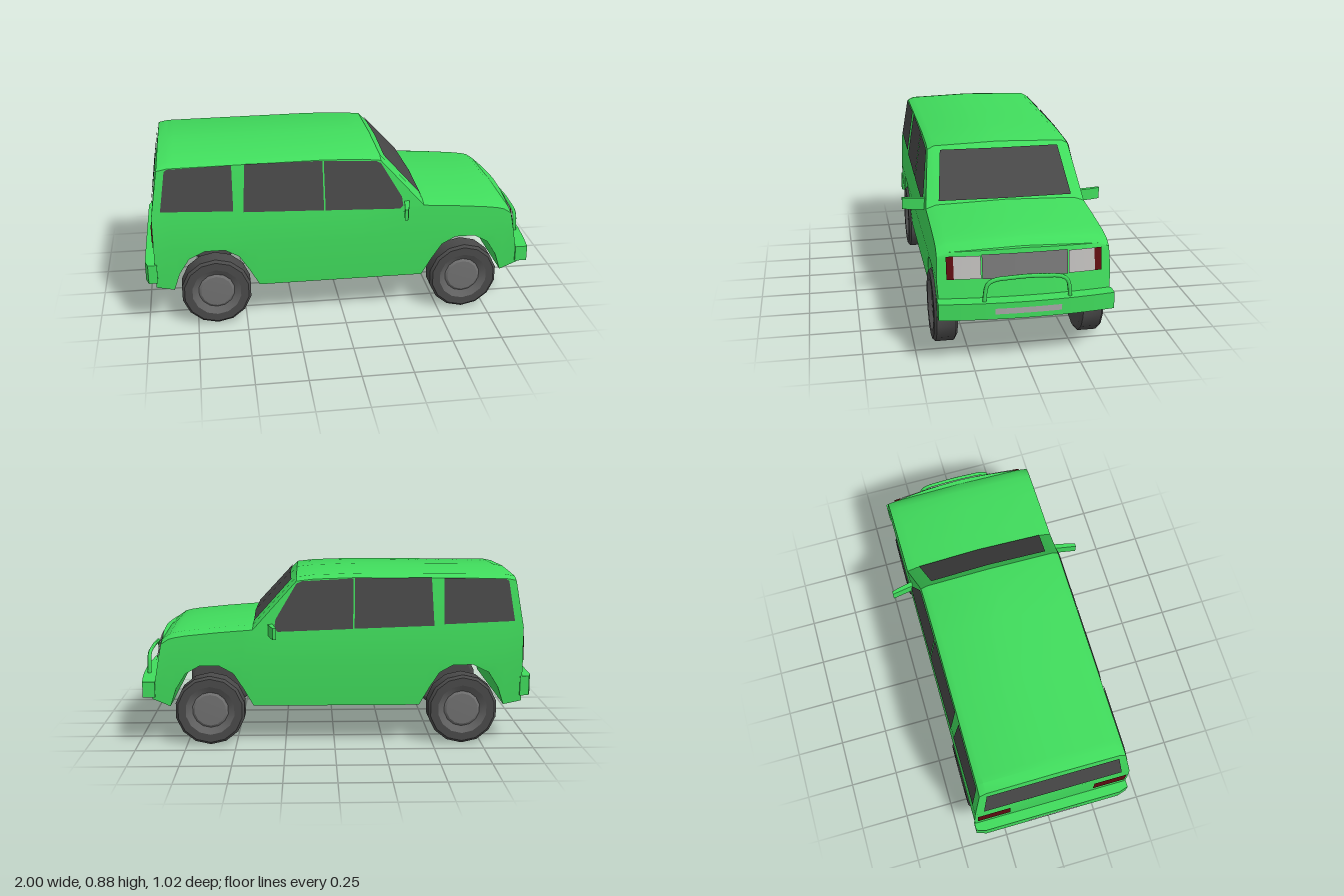
import * as THREE from 'three';
import { toCreasedNormals } from 'three/addons/utils/BufferGeometryUtils.js';

const mat = (name, color, side = THREE.FrontSide) => {
  const m = new THREE.MeshStandardMaterial({ color, side });
  m.name = name;
  return m;
};
const lerp = THREE.MathUtils.lerp;

// Half-width of the body at height y: bulging flanks, tapering cabin
const halfWidth = (y) =>
  y < 0.42 ? 0.395 + (y - 0.2) * 0.06 : y < 0.6 ? 0.408 - (y - 0.42) * 0.044 : 0.4 - (y - 0.6) * 0.155;

// Height of the roof and bonnet edge along the car
const TOP = [[-0.91, 0.85], [-0.86, 0.86], [-0.1, 0.866], [0.1, 0.86], [0.19, 0.85], [0.41, 0.61], [0.6, 0.596], [0.78, 0.578], [0.83, 0.565], [0.865, 0.54]];
function topY(x) {
  for (let i = 1; i < TOP.length; i++) {
    const [x0, y0] = TOP[i - 1], [x1, y1] = TOP[i];
    if (x <= x1) return lerp(y0, y1, Math.max(0, (x - x0) / (x1 - x0)));
  }
  return TOP[TOP.length - 1][1];
}

const CROWN = 0.01, NOSE_BULGE = 0.025;
const noseX = (y) => lerp(0.92, 0.865, THREE.MathUtils.clamp((y - 0.25) / 0.29, 0, 1));
const tailX = (y) => lerp(-0.95, -0.91, THREE.MathUtils.clamp((y - 0.6) / 0.25, 0, 1));

// One closed cross-section; s narrows it to close the ends
function section({ xAt, yb, yt, s = 1, push = 0 }) {
  const inset = yt > 0.7 ? 0.03 : 0.05;
  const mid = Math.max(0.42, yb + 0.01), belt = Math.min(0.6, yt - 0.03), edge = yt - 0.018;
  const lift = CROWN * (1 - s);
  const half = [[0, yb], [halfWidth(yb), yb], [halfWidth(mid), mid], [halfWidth(belt), belt],
    [halfWidth(edge), edge], [halfWidth(yt) - inset, yt + lift], [0, yt + CROWN]];
  const ring = [...half, ...half.slice(1, -1).reverse().map(([z, y]) => [-z, y])];
  return ring.map(([z, y]) => [xAt(y) + push, y, z * s]);
}

function bodyGeometry() {
  // Lower edge along the car, with both wheel arches
  const sill = [[-0.86, 0.2], [-0.83, 0.29], [-0.78, 0.37], [-0.7, 0.41], [-0.6, 0.41], [-0.53, 0.37], [-0.48, 0.29], [-0.43, 0.2],
    [-0.1, 0.2], [0.1, 0.2], [0.19, 0.2], [0.41, 0.2], [0.46, 0.29], [0.51, 0.37], [0.58, 0.41], [0.68, 0.41], [0.75, 0.37], [0.8, 0.29], [0.83, 0.2]];
  const tail = { xAt: tailX, yb: 0.22, yt: 0.85 };
  const nose = { xAt: noseX, yb: 0.24, yt: 0.54 };
  const rings = [
    section({ ...tail, s: 0 }), section(tail),
    ...sill.map(([x, yb]) => section({ xAt: () => x, yb, yt: topY(x) })),
    ...[1, 0.75, 0.5, 0.25, 0].map((s) => section({ ...nose, s, push: NOSE_BULGE * (1 - s * s) })),
  ];
  const pos = [], n = rings[0].length;
  for (let i = 0; i < rings.length - 1; i++) {
    for (let j = 0; j < n; j++) {
      const k = (j + 1) % n;
      const a = rings[i][j], b = rings[i + 1][j], c = rings[i + 1][k], d = rings[i][k];
      pos.push(...a, ...b, ...c, ...a, ...c, ...d);
    }
  }
  const g = new THREE.BufferGeometry();
  g.setAttribute('position', new THREE.Float32BufferAttribute(pos, 3));
  return toCreasedNormals(g, 0.5);
}

// Thin sheet following a surface fn(z, y) => [x, y, z]; half-widths may differ at bottom and top
function sheet(fn, y0, y1, [a0, b0], [a1, b1] = [a0, b0]) {
  const g = new THREE.PlaneGeometry(1, 1, 12, 4), p = g.attributes.position;
  for (let i = 0; i < p.count; i++) {
    const u = p.getX(i) + 0.5, v = p.getY(i) + 0.5;
    p.setXYZ(i, ...fn(lerp(lerp(a0, b0, u), lerp(a1, b1, u), v), lerp(y0, y1, v)));
  }
  g.computeVertexNormals();
  return g;
}
const onNose = (z, y) => [noseX(y) + NOSE_BULGE * (1 - (z / halfWidth(y)) ** 2) + 0.007, y, z];
const onTail = (z, y) => [tailX(y) - 0.006, y, z];
const onWindscreen = (z, y) => [0.19 + (0.85 - y + CROWN * (1 - Math.abs(z) / 0.36)) / 1.09 + 0.008, y + 0.003, z];

// Side pane: flat outline laid on the tapering flank
function pane(points, side) {
  const g = new THREE.ShapeGeometry(new THREE.Shape(points.map(([x, y]) => new THREE.Vector2(x, y))));
  const p = g.attributes.position;
  for (let i = 0; i < p.count; i++) p.setZ(i, side * (halfWidth(p.getY(i)) + 0.005));
  g.computeVertexNormals();
  return g;
}

// Plan outline in (x, z) raised between two heights
function slab(points, y0, y1) {
  const shape = new THREE.Shape(points.map(([x, z]) => new THREE.Vector2(x, -z)));
  return new THREE.ExtrudeGeometry(shape, { depth: y1 - y0, bevelEnabled: false }).rotateX(-Math.PI / 2).translate(0, y0, 0);
}

export function createModel() {
  const car = new THREE.Group();
  car.name = 'car';
  const D = THREE.DoubleSide;
  const paint = mat('green paint', 0x40dc5c);
  const glass = mat('dark glass', 0x484848, D);
  const rubber = mat('tyre rubber', 0x4a4a4a);
  const rimMat = mat('rim grey', 0x626262);
  const hubMat = mat('hub grey', 0x707070);
  const grilleMat = mat('grille grey', 0x767676, D);
  const lampMat = mat('headlight white', 0xbcbab8, D);
  const redMat = mat('lamp red', 0x5e0c10, D);
  const plateMat = mat('plate grey', 0xa8a8a8, D);
  const add = (name, geometry, material, parent = car) => {
    const m = new THREE.Mesh(geometry, material);
    m.name = name;
    parent.add(m);
    return m;
  };

  add('body', bodyGeometry(), paint);

  // Glass
  add('windscreen', sheet(onWindscreen, 0.625, 0.832, [-0.335, 0.335], [-0.303, 0.303]), glass);
  add('rearWindow', sheet(onTail, 0.63, 0.825, [0.355, -0.355], [0.33, -0.33]), glass);
  const panes = {
    cargoWindow: [[-0.905, 0.632], [-0.55, 0.617], [-0.55, 0.846], [-0.86, 0.84], [-0.875, 0.83]],
    rearDoorWindow: [[-0.5, 0.61], [-0.1, 0.597], [-0.103, 0.846], [-0.487, 0.848]],
    frontDoorWindow: [[-0.092, 0.596], [0.285, 0.583], [0.302, 0.6], [0.295, 0.645], [0.19, 0.82], [0.165, 0.832], [-0.096, 0.845]],
  };

  // Mirrored side parts
  for (const s of [1, -1]) {
    const side = s > 0 ? 'left' : 'right';
    for (const [name, pts] of Object.entries(panes)) add(`${name}-${s > 0 ? 'right' : 'left'}`, pane(pts, s), glass);
    const blade = [[0.31, 0.39], [0.335, 0.39], [0.318, 0.47], [0.306, 0.508], [0.29, 0.508]].map(([x, z]) => [x, z * s]);
    add(`mirror-${side}`, slab(blade, 0.562, 0.62), paint);
    add(`headlight-${side}`, sheet(onNose, 0.42, 0.525, [s * 0.205, s * 0.33]), lampMat);
    add(`indicator-${side}`, sheet(onNose, 0.42, 0.525, [s * 0.33, s * 0.363]), redMat);
    add(`tailLamp-${side}`, sheet(onTail, 0.43, 0.55, [s * 0.22, s * 0.39]), redMat);
  }
  add('grille', sheet(onNose, 0.418, 0.53, [-0.2, 0.2]), grilleMat);

  // Bumpers and plates
  const frontEdge = (z) => 0.997 - 0.03 * (z / 0.41) ** 2;
  const zs = [-0.41, -0.31, -0.2, -0.1, 0, 0.1, 0.2, 0.31, 0.41];
  add('frontBumper', slab([[0.905, 0.41], [0.905, -0.41], ...zs.map((z) => [frontEdge(z), z])], 0.25, 0.33), paint);
  add('rearBumper', slab([[-0.94, -0.41], [-0.94, 0.41], [-0.985, 0.41], [-1, 0.36], [-1, -0.36], [-0.985, -0.41]], 0.25, 0.35), paint);
  add('frontPlate', sheet((z, y) => [frontEdge(z) + 0.003, y, z], 0.276, 0.304, [-0.155, 0.155]), plateMat);
  add('rearPlate', sheet((z, y) => [-1.002, y, z], 0.265, 0.3, [0.13, -0.13]), plateMat);

  // Bull bar
  const bar = new THREE.CatmullRomCurve3([[0.25, -0.2], [0.36, -0.197], [0.41, -0.185], [0.43, -0.155], [0.437, -0.08], [0.44, 0],
    [0.437, 0.08], [0.43, 0.155], [0.41, 0.185], [0.36, 0.197], [0.25, 0.2]].map(([y, z]) => new THREE.Vector3(0.962, y, z)));
  add('bullBar', new THREE.TubeGeometry(bar, 40, 0.01, 6), paint);

  // Wheels: tyre, dished rim and hub
  const lathe = (pts) => toCreasedNormals(
    new THREE.LatheGeometry(pts.map(([r, y]) => new THREE.Vector2(r, y)), 14).rotateX(Math.PI / 2), 0.5);
  const tyre = lathe([[0, -0.057], [0.16, -0.057], [0.178, -0.045], [0.178, 0.045], [0.165, 0.057], [0.125, 0.057]]);
  const rim = lathe([[0.125, 0.057], [0.092, 0.035]]);
  const hub = lathe([[0.092, 0.035], [0.08, 0.043], [0, 0.046]]);
  for (const x of [-0.65, 0.63]) for (const s of [1, -1]) {
    const wheel = new THREE.Group();
    wheel.name = `${x > 0 ? 'front' : 'rear'}Wheel-${s > 0 ? 'right' : 'left'}`;
    add('tyre', tyre, rubber, wheel);
    add('rim', rim, rimMat, wheel);
    add('hub', hub, hubMat, wheel);
    wheel.position.set(x, 0.178, s * 0.354);
    if (s < 0) wheel.rotation.y = Math.PI;
    car.add(wheel);
  }
  return car;
}
